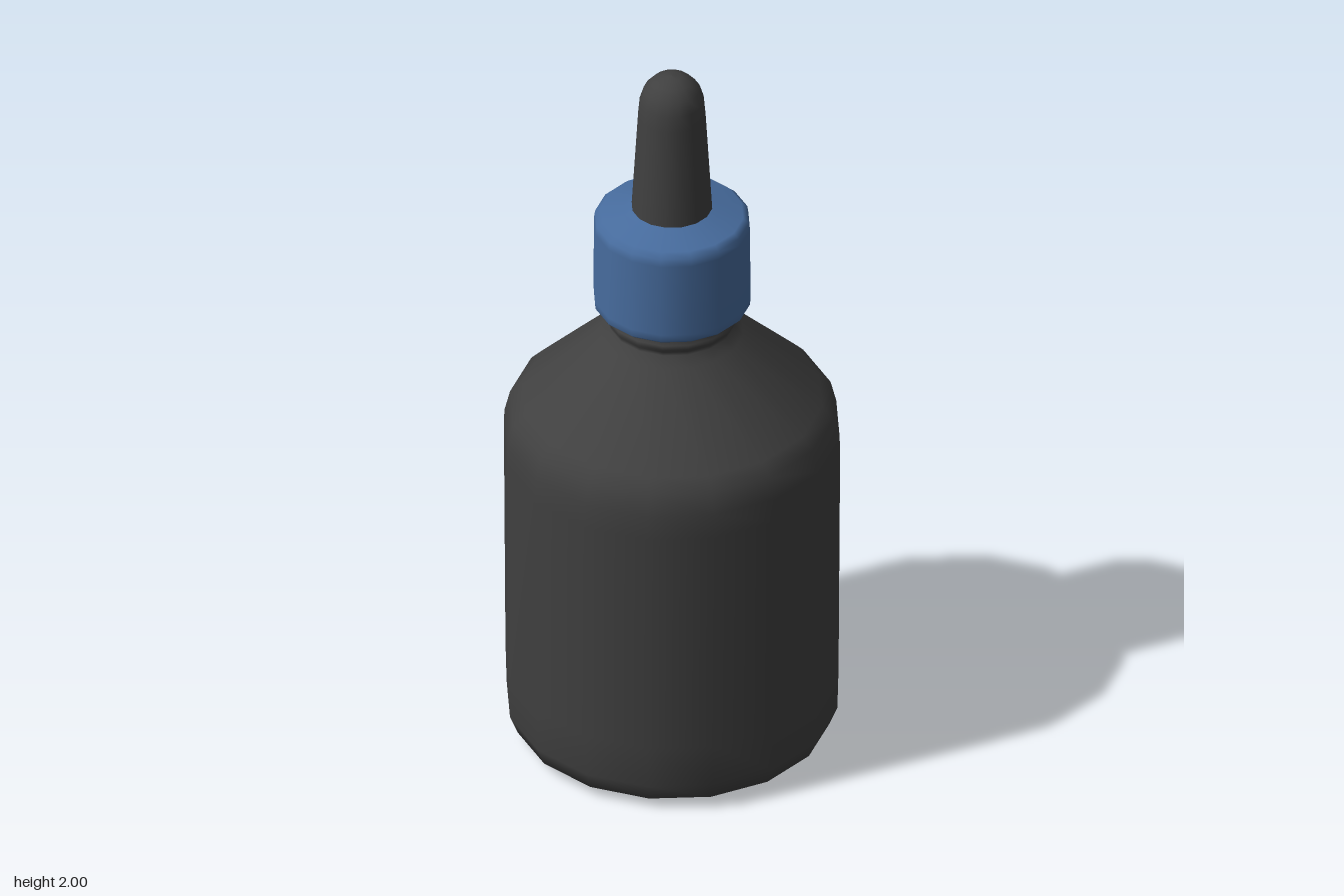
import * as THREE from 'three';

const SIDES = 16;

// Smooth turned part from [radius, height] pairs, listed bottom to top
function turned(name, profile, material) {
  const points = profile.map(([r, y]) => new THREE.Vector2(r, y));
  const mesh = new THREE.Mesh(new THREE.LatheGeometry(points, SIDES), material);
  mesh.name = name;
  return mesh;
}

export function createModel() {
  const darkPlastic = new THREE.MeshStandardMaterial({ color: 0x404040 });
  darkPlastic.name = 'dark plastic';
  const bluePlastic = new THREE.MeshStandardMaterial({ color: 0x476c9e });
  bluePlastic.name = 'blue plastic';

  const model = new THREE.Group();
  model.name = 'dropperBottle';

  // Bottle: rounded base, straight wall, sloping shoulder and ringed neck
  model.add(turned('bottle', [
    [0, 0.005], [0.3, 0.005], [0.345, 0], [0.41, 0.03], [0.43, 0.08],
    [0.433, 0.2], [0.437, 0.85], [0.436, 0.92], [0.421, 0.98], [0.39, 1.012],
    [0.185, 1.213], [0.163, 1.24], [0.163, 1.25], [0.172, 1.262],
    [0.172, 1.275], [0.162, 1.285], [0.162, 1.33],
  ], darkPlastic));

  // Screw cap: open underside lip, straight wall and softly rounded top
  model.add(turned('cap', [
    [0.15, 1.302], [0.195, 1.302], [0.203, 1.31], [0.204, 1.33],
    [0.203, 1.54], [0.2, 1.562], [0.185, 1.575], [0.125, 1.587], [0.11, 1.598], [0.09, 1.598],
  ], bluePlastic));

  // Squeeze bulb: tapered stem with a domed tip
  model.add(turned('bulb', [
    [0.106, 1.58], [0.104, 1.61], [0.088, 1.88], [0.084, 1.925],
    [0.073, 1.96], [0.05, 1.986], [0.025, 1.997], [0, 2],
  ], darkPlastic));

  return model;
}
